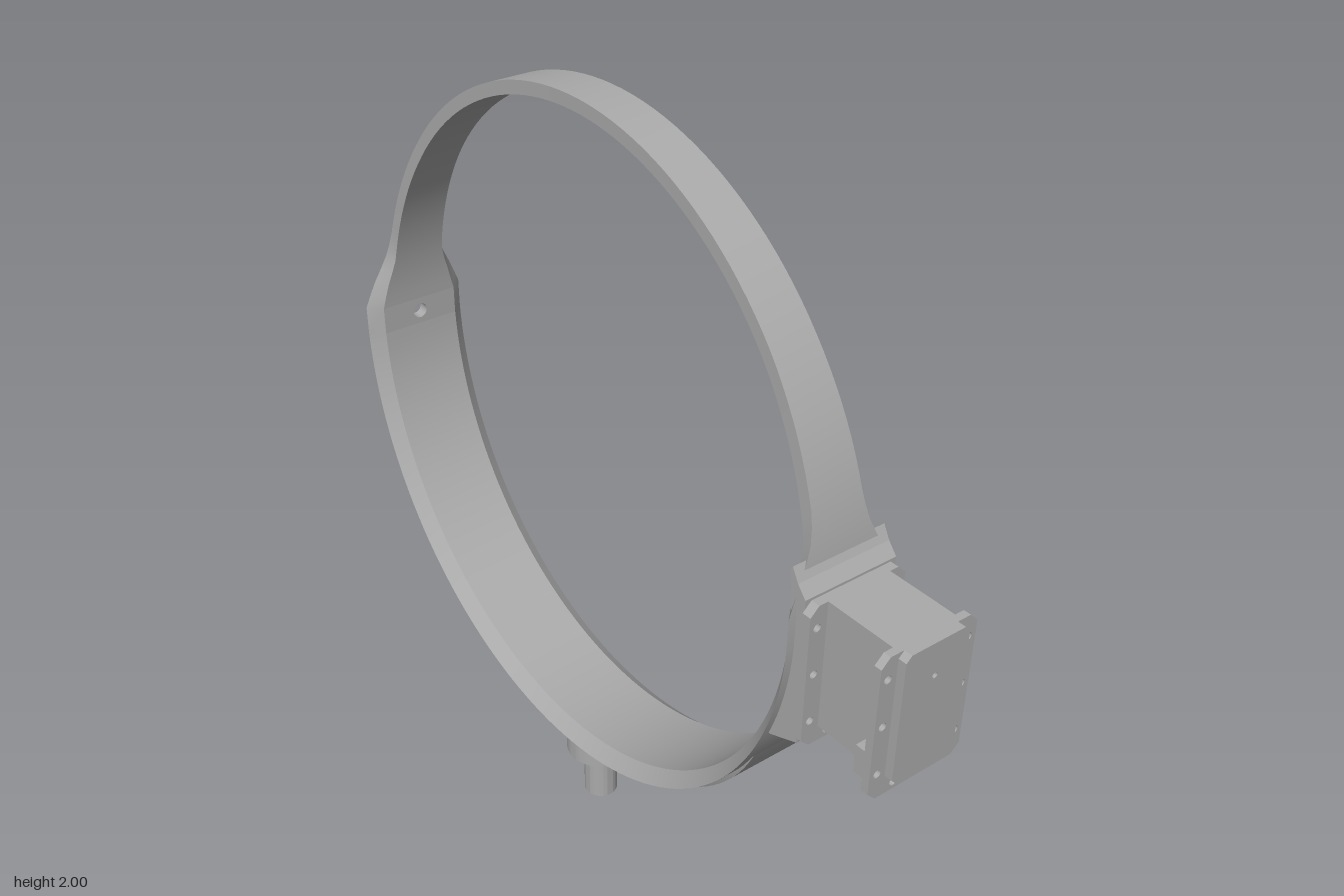
import * as THREE from 'three';
import { toCreasedNormals } from 'three/addons/utils/BufferGeometryUtils.js';

const CX = -0.135, CY = 1.147;   // ring centre
const RO = 0.855, RI = 0.823;    // ring radii
const STEP = 0.045;              // half angle of the flat side facets

const metal = new THREE.MeshStandardMaterial({ color: 0xaaaaaa, side: THREE.DoubleSide });
metal.name = 'grey metal';

// Linear interpolation through [key, value] pairs sorted by rising key
function lookup(table, k) {
  if (k <= table[0][0]) return table[0][1];
  for (let i = 1; i < table.length; i++) {
    const [k0, v0] = table[i - 1], [k1, v1] = table[i];
    if (k <= k1) return v0 + (v1 - v0) * (k - k0) / (k1 - k0);
  }
  return table[table.length - 1][1];
}

// Sweep a four-cornered [radius, z] section around the ring centre
function sweep(angles, section, closed, skip = () => false) {
  const rows = angles.map(a => section(a).map(([r, z]) =>
    [CX + r * Math.cos(a), CY + r * Math.sin(a), z]));
  const pos = [], n = rows.length;
  for (let i = 0; i < (closed ? n : n - 1); i++) {
    for (let j = 0; j < 4; j++) {
      if (skip(i, j)) continue;
      const p = rows[i], q = rows[(i + 1) % n], k = (j + 1) % 4;
      pos.push(...p[j], ...p[k], ...q[k], ...p[j], ...q[k], ...q[j]);
    }
  }
  const g = new THREE.BufferGeometry();
  g.setAttribute('position', new THREE.Float32BufferAttribute(pos, 3));
  return toCreasedNormals(g, 0.4);
}

function circlePath(x, y, r) {
  const p = new THREE.Path();
  p.absarc(x, y, r, 0, Math.PI * 2, true);
  return p;
}

// Rectangle with cut corners and round holes
function plateShape(x0, x1, y0, y1, c, holes = []) {
  const s = new THREE.Shape([
    [x0 + c, y0], [x1 - c, y0], [x1, y0 + c], [x1, y1 - c],
    [x1 - c, y1], [x0 + c, y1], [x0, y1 - c], [x0, y0 + c],
  ].map(([x, y]) => new THREE.Vector2(x, y)));
  s.holes = holes.map(([x, y, r]) => circlePath(x, y, r));
  return s;
}

// Extrude a (z, y) shape along x
function alongX(shape, x0, x1) {
  return new THREE.ExtrudeGeometry(shape, { depth: x1 - x0, bevelEnabled: false, curveSegments: 10 })
    .rotateY(Math.PI / 2).translate(x0, 0, 0);
}

function box(x0, x1, y0, y1, z0, z1) {
  return new THREE.BoxGeometry(x1 - x0, y1 - y0, z1 - z0)
    .translate((x0 + x1) / 2, (y0 + y1) / 2, (z0 + z1) / 2);
}

export function createModel() {
  const model = new THREE.Group();
  model.name = 'ringMount';
  const add = (name, geometry, parent = model) => {
    const m = new THREE.Mesh(geometry, metal);
    m.name = name;
    parent.add(m);
    return m;
  };

  // Ring: narrow above, flared and wide below, with chamfered inner edges
  const N = 72, angles = [];
  for (const start of [0, Math.PI])
    for (let i = 0; i <= N; i++) angles.push(start + STEP + (i / N) * (Math.PI - 2 * STEP));
  const halfWidth = [[1.186, 0.145], [1.25, 0.118], [1.32, 0.083], [1.38, 0.069], [1.68, 0.06], [2, 0.055]];
  const chamfer = [[1.19, 0.035], [1.38, 0]];
  add('ring', sweep(angles, a => {
    const y = CY + RO * Math.sin(a), w = lookup(halfWidth, y), v = w - lookup(chamfer, y);
    return [[RO, w], [RO, -w], [RI, -v], [RI, v]];
  }, true, (i, j) => i === N && j % 2 === 0));

  // Flat facet with the pivot hole on the side away from the drive
  const pivot = new THREE.Group();
  pivot.name = 'pivotHole';
  model.add(pivot);
  const holeR = 0.021;
  for (const [r, w, turn] of [[RO, 0.145, -1], [RI, 0.11, 1]]) {
    const h = r * Math.sin(STEP);
    const g = new THREE.ShapeGeometry(plateShape(-w, w, -h, h, 0, [[0, 0, holeR]]), 16);
    add('pivotFace', g.rotateY(turn * Math.PI / 2).translate(CX - r * Math.cos(STEP), CY, 0), pivot);
  }
  add('pivotBore', new THREE.CylinderGeometry(holeR, holeR, RO - RI, 20, 1, true)
    .rotateZ(Math.PI / 2).translate(CX - (RO + RI) / 2 * Math.cos(STEP), CY, 0), pivot);

  // Crescent rib thickening the underside
  const ribAngles = [];
  for (let i = 0; i <= 48; i++) ribAngles.push(-Math.PI / 2 + (i / 48 * 2 - 1) * 1.05);
  add('lowerRib', sweep(ribAngles, a => {
    const u = 1 - ((a + Math.PI / 2) / 1.05) ** 2;
    const top = 0.115 - 0.04 * u, base = 0.115 - 0.017 * u, r = RO + 0.001 + 0.031 * u;
    return [[r, top], [r, -top], [RO - 0.008, -base], [RO - 0.008, base]];
  }, false));

  // Post: stem, flange and neck below the ring
  const post = new THREE.Group();
  post.name = 'post';
  post.position.x = CX;
  model.add(post);
  const disc = (name, r, y0, y1, holes) => {
    const s = new THREE.Shape();
    s.absarc(0, 0, r, 0, Math.PI * 2, false);
    s.holes = holes;
    const g = new THREE.ExtrudeGeometry(s, { depth: y1 - y0, bevelEnabled: false, curveSegments: 36 });
    add(name, toCreasedNormals(g, 0.5).rotateX(-Math.PI / 2).translate(0, y0, 0), post);
  };
  const ringOfHoles = (n, d, r) => Array.from({ length: n }, (_, i) => {
    const a = (i + 0.5) / n * Math.PI * 2;
    return circlePath(d * Math.cos(a), d * Math.sin(a), r);
  });
  disc('stem', 0.045, 0, 0.16, ringOfHoles(3, 0.022, 0.007));
  disc('flange', 0.092, 0.155, 0.226, ringOfHoles(8, 0.07, 0.009));
  disc('neck', 0.052, 0.22, 0.275, []);

  // Bracket joining the drive to the ring
  const outline = [[0.7, 1.3], [0.718, 1.268], [0.742, 1.24], [0.745, 0.868], [0.735, 0.864], [0.665, 0.835]];
  for (let i = 0; i <= 8; i++) {
    const a = -0.375 + i / 8 * 0.55;
    outline.push([CX + 0.84 * Math.cos(a), CY + 0.84 * Math.sin(a)]);
  }
  add('bracket', new THREE.ExtrudeGeometry(
    new THREE.Shape(outline.map(p => new THREE.Vector2(...p))),
    { depth: 0.25, bevelEnabled: false }).translate(0, 0, -0.125));

  // Drive unit: two drilled flanges, body, cover and cable block
  const drive = new THREE.Group();
  drive.name = 'driveUnit';
  model.add(drive);
  const screws = [[-0.06, 0.887, 0.01], [0.06, 0.887, 0.01]];
  for (const y of [0.935, 1.06, 1.18]) screws.push([-0.11, y, 0.01], [0.11, y, 0.01]);
  const flange = plateShape(-0.131, 0.131, 0.868, 1.235, 0.022, screws);
  add('innerFlange', alongX(flange, 0.743, 0.766), drive);
  add('outerFlange', alongX(flange, 0.946, 0.965), drive);
  add('body', box(0.76, 0.955, 0.908, 1.235, -0.085, 0.085), drive);
  add('cover', alongX(plateShape(-0.087, 0.087, 0.905, 1.235, 0.014, [[0, 1.15, 0.007]]), 0.96, 0.986), drive);
  add('cableBlock', box(0.91, 0.95, 0.908, 0.98, 0.08, 0.12), drive);
  add('cableBlockTop', box(0.935, 0.95, 0.975, 1.02, 0.08, 0.12), drive);

  // Drive shaft end and bolt heads on the inside of the ring
  add('shaftEnd', new THREE.CylinderGeometry(0.026, 0.026, 0.035, 24)
    .rotateZ(Math.PI / 2).translate(0.677, 1.15, 0));
  for (const [y, z] of [[1.24, 0.08], [1.06, 0.085], [0.935, 0.085], [0.9, 0.045]])
    for (const side of [-1, 1]) {
      const a = Math.asin((y - CY) / RI);
      const bolt = add('innerBolt', new THREE.CylinderGeometry(0.009, 0.009, 0.012, 12));
      bolt.position.set(CX + RI * Math.cos(a), y, z * side);
      bolt.rotation.z = a + Math.PI / 2;
    }
  return model;
}
